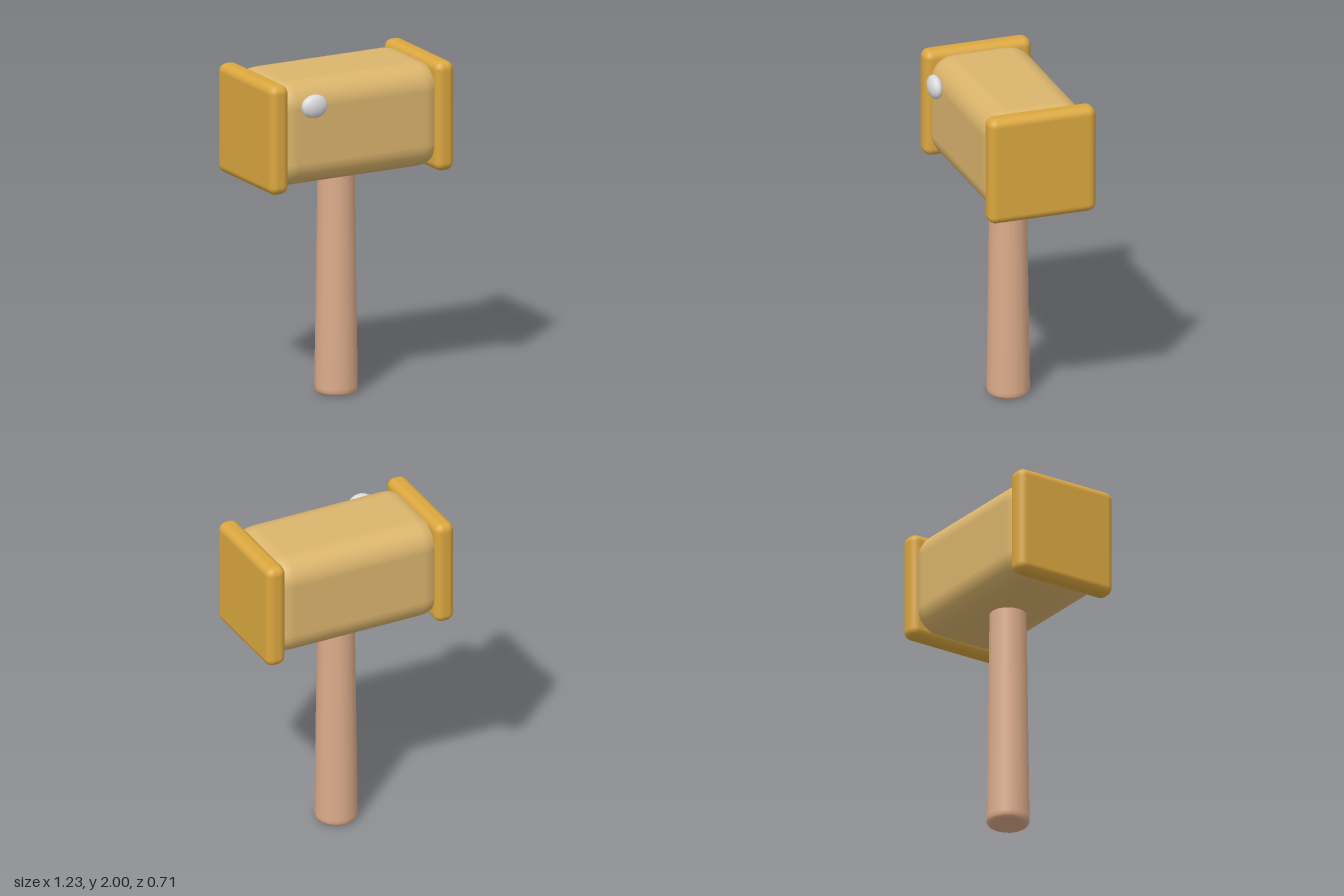
import * as THREE from 'three';
import { RoundedBoxGeometry } from 'three/addons/geometries/RoundedBoxGeometry.js';

const material = (name, color) => {
  const m = new THREE.MeshStandardMaterial({ color });
  m.name = name;
  return m;
};

export function createModel() {
  const model = new THREE.Group();
  model.name = 'mallet';
  const paleWood = material('paleWood', 0xdbb56d);
  const goldenWood = material('goldenWood', 0xdba73f);
  const pinkWood = material('pinkWood', 0xdcac8b);
  const silver = material('silver', 0xdcdcdc);

  const add = (name, geometry, mat, x, y, z) => {
    const mesh = new THREE.Mesh(geometry, mat);
    mesh.name = name;
    mesh.position.set(x, y, z);
    model.add(mesh);
    return mesh;
  };
  const axisZ = -0.024;

  // Head block: generously rounded, its ends tuck into the caps
  add('head', new RoundedBoxGeometry(1.15, 0.63, 0.63, 4, 0.15), paleWood, -0.002, 1.671, axisZ);

  // Square striking caps
  for (const [name, side] of [['leftCap', 1], ['rightCap', -1]]) {
    add(name, new RoundedBoxGeometry(0.125, 0.662, 0.668, 4, 0.05), goldenWood,
      side * 0.555 - 0.002, 1.669, axisZ);
  }

  // Tapered handle with a softened foot
  const profile = [
    [0, 0], [0.104, 0], [0.108, 0.001], [0.12, 0.008], [0.127, 0.022],
    [0.128, 0.045], [0.11, 1.37], [0.108, 1.5], [0, 1.5],
  ].map(([r, y]) => new THREE.Vector2(r, y));
  add('handle', new THREE.LatheGeometry(profile, 16), pinkWood, -0.002, 0, axisZ);

  // Flattened oval stud on the front
  const stud = new THREE.SphereGeometry(1, 16, 8).rotateX(Math.PI / 2);
  add('stud', stud, silver, -0.335, 1.854, 0.311).scale.set(0.086, 0.072, 0.042);

  return model;
}
